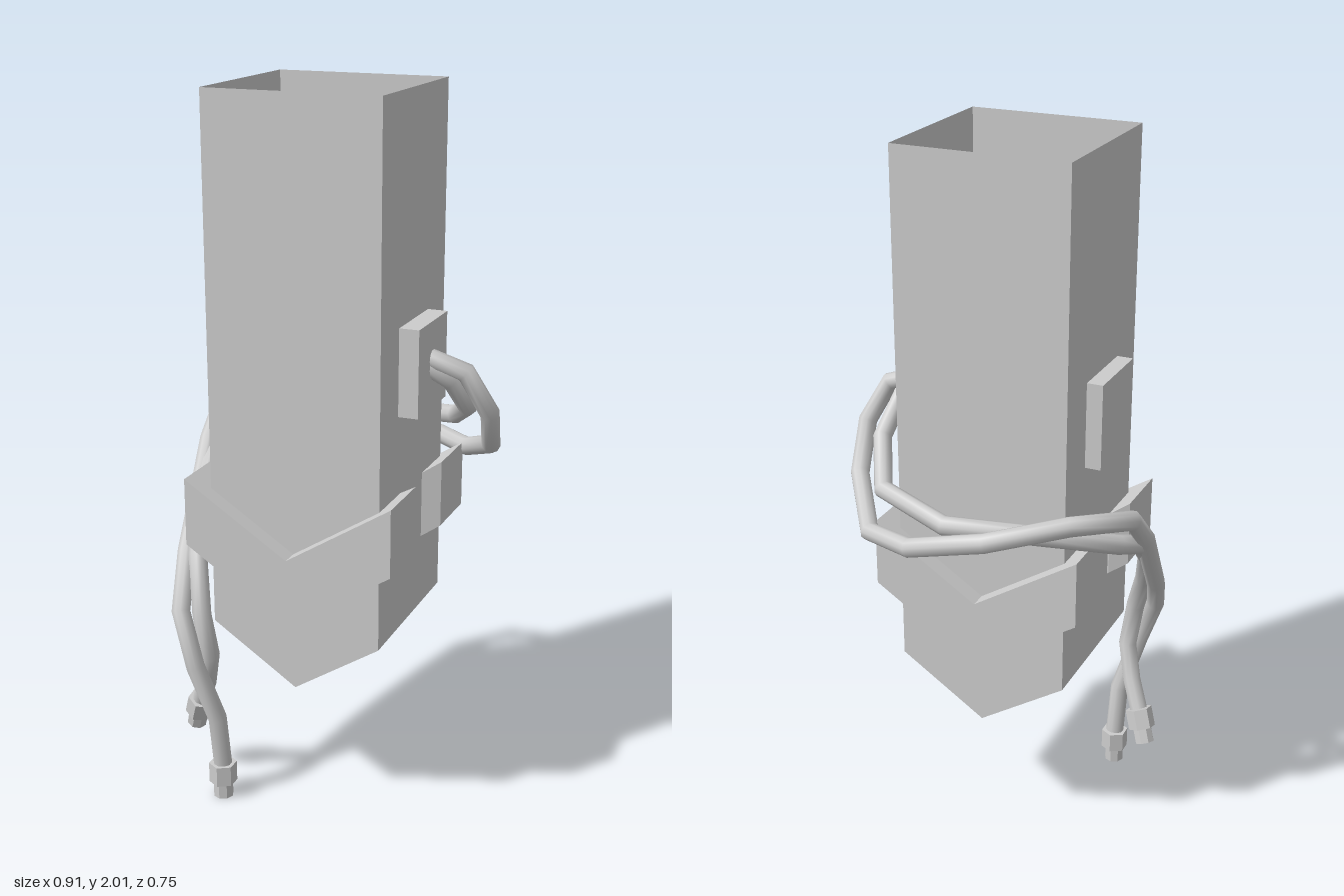
import * as THREE from 'three';

const CX = -0.02, CZ = 0.04; // centre line of the square sleeve
const HALF = 0.245, DEPTH = 0.24, SLOPE = 0.16 / HALF;
const grey = new THREE.MeshStandardMaterial({ color: 0xcccccc });
const thin = new THREE.MeshStandardMaterial({ color: 0xcccccc, side: THREE.DoubleSide });

function add(parent, name, geometry, material = grey) {
  const mesh = new THREE.Mesh(geometry, material);
  mesh.name = name;
  parent.add(mesh);
  return mesh;
}

function polygon(points) {
  return new THREE.Shape(points.map(([x, y]) => new THREE.Vector2(x, y)));
}

// Open square sleeve with a pointed lower end and an inward lip
function makeSleeve() {
  const sleeve = new THREE.Group();
  sleeve.name = 'sleeve';
  const panel = polygon([[-HALF, 0.54], [0, 0.38], [HALF, 0.54], [HALF, 2], [-HALF, 2]]);
  for (const s of [1, -1]) {
    const face = add(sleeve, s > 0 ? 'frontPanel' : 'backPanel', new THREE.ShapeGeometry(panel), thin);
    face.position.z = s * DEPTH;
    if (s < 0) face.rotation.y = Math.PI;

    const side = add(sleeve, s > 0 ? 'leftPanel' : 'rightPanel', new THREE.PlaneGeometry(DEPTH * 2, 1.46), thin);
    side.position.set(s * HALF, 1.27, 0);
    side.rotation.y = s * Math.PI / 2;

    // Half of the lip, folded up from the point at the centre
    const a = DEPTH, b = DEPTH - 0.05, c = HALF - 0.05;
    const lip = new THREE.ShapeGeometry(polygon([
      [0, -a], [HALF, -a], [HALF, a], [0, a], [0, b], [c, b], [c, -b], [0, -b],
    ]));
    lip.rotateX(Math.PI / 2); // faces down
    const p = lip.attributes.position;
    for (let i = 0; i < p.count; i++) p.setY(i, 0.38 + p.getX(i) * SLOPE);
    lip.computeVertexNormals();
    const half = add(sleeve, 'bottomLip', lip, thin);
    if (s < 0) half.rotation.y = Math.PI;
  }
  sleeve.position.set(CX, 0, CZ);
  return sleeve;
}

// V-shaped block; its inner end tapers back to the sleeve wall
function chevronGeometry() {
  const w = 0.2975, drop = 0.19, wall = 0.247;
  const shape = polygon([[-w, 0.78], [0, 0.59], [w, 0.78], [w, 0.97], [0, 0.78], [-w, 0.97]]);
  const g = new THREE.ExtrudeGeometry(shape, { depth: 0.205, steps: 2, bevelEnabled: false });
  const p = g.attributes.position;
  for (let i = 0; i < p.count; i++) {
    const z = p.getZ(i), x = p.getX(i);
    if (z > 0.2) {
      p.setZ(i, 0.205);
    } else if (z > 0.05) {
      p.setZ(i, 0.185);
    }
    if (z > 0.2 && Math.abs(x) > 0.1) {
      p.setX(i, Math.sign(x) * wall);
      p.setY(i, p.getY(i) - (w - wall) * drop / w);
    }
  }
  g.computeVertexNormals();
  return g;
}

// Path that runs straight from point to point with mitred corners
class Polyline extends THREE.Curve {
  constructor(points) {
    super();
    this.points = points;
  }
  getPoint(t, target = new THREE.Vector3()) {
    const n = this.points.length - 1;
    const i = Math.min(Math.floor(t * n + 1e-6), n - 1);
    return target.lerpVectors(this.points[i], this.points[i + 1], t * n - i);
  }
  getPointAt(u, target) {
    return this.getPoint(u, target);
  }
  getTangentAt(u, target = new THREE.Vector3()) {
    const n = this.points.length - 1, k = Math.round(u * n);
    target.set(0, 0, 0);
    for (const i of [k - 1, k]) {
      if (i >= 0 && i < n) target.add(this.points[i + 1].clone().sub(this.points[i]).normalize());
    }
    return target.normalize();
  }
}

// Cable with a hexagonal plug at its last point
function makeCable(name, coords, tip) {
  const group = new THREE.Group();
  group.name = name;
  const points = coords.map((c) => new THREE.Vector3(...c));
  add(group, 'cord', new THREE.TubeGeometry(new Polyline(points), points.length - 1, 0.027, 10, false), thin);

  const plug = new THREE.Group();
  plug.name = 'plug';
  const flat = new THREE.MeshStandardMaterial({ color: 0xcccccc, flatShading: true });
  add(plug, 'plugNut', new THREE.CylinderGeometry(0.04, 0.04, 0.06, 6), flat).position.y = -0.03;
  add(plug, 'plugTip', new THREE.CylinderGeometry(0.029, 0.029, 0.05, 8), flat).position.y = -0.08;
  const end = points[points.length - 1];
  plug.position.copy(end);
  const direction = new THREE.Vector3(...tip).sub(end).normalize();
  plug.quaternion.setFromUnitVectors(new THREE.Vector3(0, -1, 0), direction);
  group.add(plug);
  return group;
}

export function createModel() {
  const model = new THREE.Group();
  model.name = 'cabledSleeve';
  model.add(makeSleeve());

  // Block passing through both sides of the sleeve
  add(model, 'crossBlock', new THREE.BoxGeometry(0.59, 0.24, 0.22)).position.set(-0.015, 1.28, 0.04);

  // Front and back chevron clamps
  const chevron = chevronGeometry();
  const front = add(model, 'frontChevron', chevron);
  front.position.set(CX - 0.002, 0, 0.33);
  front.rotation.y = Math.PI;
  add(model, 'backChevron', chevron).position.set(CX - 0.002, 0, -0.25);

  // Two cables wrapping behind the sleeve
  model.add(makeCable('outerCable', [
    [0.26, 1.30, 0.04], [0.37, 1.265, 0.03], [0.43, 1.15, 0], [0.405, 1.03, -0.1],
    [0.28, 0.95, -0.275], [0.12, 0.97, -0.35], [-0.10, 1.03, -0.35], [-0.31, 1.09, -0.28],
    [-0.43, 1.07, -0.14], [-0.425, 0.96, -0.02], [-0.405, 0.82, 0.1], [-0.385, 0.70, 0.21],
    [-0.35, 0.57, 0.32], [-0.295, 0.42, 0.347], [-0.25, 0.25, 0.31], [-0.245, 0.10, 0.295],
  ], [-0.245, 0, 0.295]));
  model.add(makeCable('innerCable', [
    [0.26, 1.28, 0.04], [0.33, 1.24, 0.03], [0.345, 1.14, -0.07], [0.26, 1.06, -0.225],
    [0.04, 1.03, -0.30], [-0.22, 1.03, -0.25], [-0.385, 0.98, -0.12], [-0.405, 0.93, 0],
    [-0.385, 0.83, 0.12], [-0.345, 0.70, 0.22], [-0.295, 0.56, 0.30], [-0.28, 0.43, 0.285],
    [-0.31, 0.33, 0.25], [-0.345, 0.25, 0.222],
  ], [-0.38, 0.15, 0.195]));
  return model;
}
